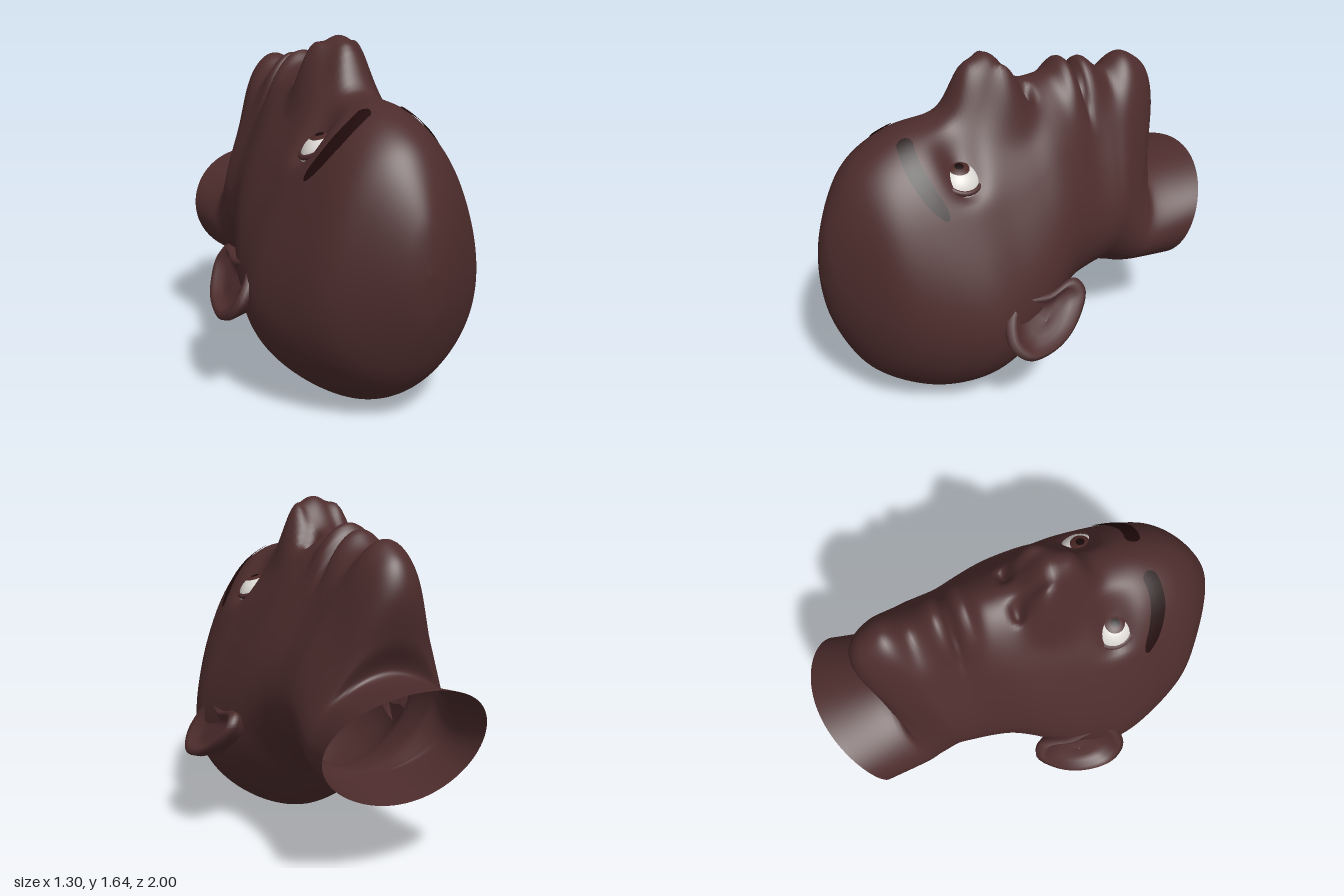
import * as THREE from 'three';

const skin = new THREE.MeshStandardMaterial({ color: 0x4d2c2c, side: THREE.DoubleSide });
const browHair = new THREE.MeshStandardMaterial({ color: 0x210b0b, side: THREE.DoubleSide });
const eyeWhite = new THREE.MeshStandardMaterial({ color: 0xdcd8d4 });
const irisBrown = new THREE.MeshStandardMaterial({ color: 0x4b2826 });
const pupilDark = new THREE.MeshStandardMaterial({ color: 0x180a0a });
skin.name = 'skin';
browHair.name = 'browHair';
eyeWhite.name = 'eyeWhite';
irisBrown.name = 'irisBrown';
pupilDark.name = 'pupilDark';

// Rings from crown to neck: face z, y, back z, y, then girth from face to back
const RINGS = [
  [1.0, 0.73, 1.0, 0.73, 0, 0, 0, 0],
  [0.97, 0.96, 0.97, 0.5, 0.09, 0.1, 0.11, 0.1],
  [0.87, 1.18, 0.87, 0.26, 0.23, 0.24, 0.27, 0.24],
  [0.75, 1.3, 0.75, 0.125, 0.33, 0.35, 0.41, 0.37],
  [0.58, 1.375, 0.56, 0.02, 0.37, 0.4, 0.52, 0.46],
  [0.4, 1.39, 0.37, 0.005, 0.38, 0.42, 0.585, 0.5],
  [0.22, 1.39, 0.2, 0.055, 0.36, 0.41, 0.57, 0.48],
  [0.06, 1.42, 0.06, 0.18, 0.31, 0.38, 0.53, 0.46],
  [-0.07, 1.465, -0.06, 0.31, 0.26, 0.34, 0.48, 0.44],
  [-0.2, 1.485, -0.15, 0.37, 0.23, 0.3, 0.44, 0.4],
  [-0.34, 1.48, -0.24, 0.4, 0.2, 0.26, 0.42, 0.38],
  [-0.49, 1.475, -0.32, 0.415, 0.2, 0.25, 0.41, 0.36],
  [-0.62, 1.485, -0.37, 0.42, 0.21, 0.24, 0.405, 0.36],
  [-0.73, 1.42, -0.4, 0.42, 0.22, 0.235, 0.4, 0.36],
  [-0.77, 1.28, -0.43, 0.415, 0.22, 0.24, 0.395, 0.36],
  [-0.73, 1.09, -0.46, 0.41, 0.23, 0.26, 0.39, 0.36],
  [-0.67, 0.92, -0.5, 0.405, 0.27, 0.32, 0.385, 0.36],
  [-1.0, 0.93, -0.76, 0.37, 0.38, 0.385, 0.39, 0.38],
];
// Forward bow of each ring's sides, easing the jaw into the neck
const BOW = [0, 0, 0, 0, 0, 0, 0, 0, 0, 0, 0, 0.02, 0.045, 0.075, 0.07, 0.02, -0.04, 0.06];

// Face relief: x, z, spread in x, spread in z, height, mirrored
const NOSE = [
  [0, 0.15, 0.17, 0.13, 0.24],
  [0, 0.27, 0.085, 0.065, 0.095],
  [0.14, 0.09, 0.06, 0.08, 0.085, true],
  [0.09, -0.02, 0.04, 0.03, -0.06, true],
  [0.225, 0.385, 0.09, 0.085, -0.08, true],
];
const LIPS = [
  [0, -0.25, 0.16, 0.05, 0.06],
  [0, -0.37, 0.15, 0.05, 0.045],
  [0, -0.315, 0.19, 0.016, -0.05],
  [0, -0.49, 0.14, 0.05, -0.03],
  [0, -0.61, 0.16, 0.06, 0.015],
];

// Uniform Catmull-Rom through numbers
function spline(values, u) {
  const last = values.length - 1;
  const i = Math.min(Math.floor(u), last - 1);
  const f = u - i;
  const at = (k) => values[Math.max(0, Math.min(last, k))];
  const [a, b, c, d] = [at(i - 1), at(i), at(i + 1), at(i + 2)];
  return b + 0.5 * f * (c - a + f * (2 * a - 5 * b + 4 * c - d + f * (3 * (b - c) + d - a)));
}

// Surface through a grid of points
function gridGeometry(rows, closed) {
  const n = rows[0].length;
  const index = [];
  for (let i = 0; i < rows.length - 1; i++) {
    for (let j = 0; j < (closed ? n : n - 1); j++) {
      const a = i * n + j, b = i * n + (j + 1) % n;
      index.push(a, b, a + n, b, b + n, a + n);
    }
  }
  const g = new THREE.BufferGeometry();
  g.setAttribute('position', new THREE.Float32BufferAttribute(rows.flat(2), 3));
  g.setIndex(index);
  g.computeVertexNormals();
  return g;
}

function relief(list, x, z) {
  let sum = 0;
  for (const [bx, bz, sx, sz, h, mirrored] of list) {
    const dx = ((mirrored ? Math.abs(x) : x) - bx) / sx;
    const dz = (z - bz) / sz;
    sum += h * Math.exp(-(dx ** 4 + dx * dx) / 2 - dz * dz);
  }
  return sum;
}

function headGeometry() {
  const steps = 153, sides = 160, rows = [];
  const columns = RINGS[0].map((_, k) => RINGS.map((r) => r[k]));
  for (let i = 0; i <= steps; i++) {
    const u = (i / steps) * (RINGS.length - 1);
    const [tz, ty, bz, by, ...girth] = columns.map((c) => spline(c, u));
    const bow = spline(BOW, u);
    const row = [];
    for (let j = 0; j < sides; j++) {
      const t = (j / sides) * Math.PI * 2;
      const h = (1 - Math.cos(t)) / 2;
      const around = 3 * (1 - Math.abs(1 - t / Math.PI));
      let x = Math.sin(t) * spline(girth, around);
      let y = ty + (by - ty) * h;
      const z = tz + (bz - tz) * h + bow * Math.sin(t) ** 2;
      // raise nose and lips on the face side only
      const lip = relief(LIPS, x, z) * THREE.MathUtils.smoothstep(y, 1.18, 1.4);
      const lift = relief(NOSE, x, z) * THREE.MathUtils.smoothstep(y, 1.0, 1.15);
      const len = Math.hypot(1.5 * x, y - 0.9) || 1;
      x += (lip * 1.5 * x) / len;
      y += (lip * (y - 0.9)) / len + lift;
      row.push([x, y, z]);
    }
    rows.push(row);
  }
  return gridGeometry(rows, true);
}

// Ear: outline in z, y scaled through rim and bowl layers
function earGeometry(side) {
  const outline = new THREE.CatmullRomCurve3([
    [0.36, 0.48], [0.345, 0.59], [0.28, 0.65], [0.1, 0.635], [-0.05, 0.66], [-0.085, 0.6],
    [0.01, 0.48], [0.14, 0.415], [0.29, 0.41],
  ].map(([z, y]) => new THREE.Vector3(0, y, z)), true).getPoints(48).slice(0, 48);
  const layers = [[0.01, -0.025], [0.4, -0.03], [0.62, -0.022], [0.76, 0.005], [0.88, 0.016],
    [1, 0], [0.97, -0.03], [0.7, -0.1]];
  return gridGeometry(layers.map(([r, off]) => outline.map((p) => {
    const y = 0.53 + (p.y - 0.53) * r;
    const x = 0.645 - 0.6 * (y - 0.4);
    return [side * (x + off * 0.86), y + off * 0.4, 0.14 + (p.z - 0.14) * r];
  })), true);
}

export function createModel() {
  const model = new THREE.Group();
  model.name = 'head';
  const add = (geometry, material, name, parent = model) => {
    const mesh = new THREE.Mesh(geometry, material);
    mesh.name = name;
    parent.add(mesh);
    return mesh;
  };
  const head = add(headGeometry(), skin, 'headAndNeck');

  // Face surface point and normal below a given x, z
  const ray = new THREE.Raycaster();
  const surface = (x, z) => {
    ray.set(new THREE.Vector3(x, 3, z), new THREE.Vector3(0, -1, 0));
    const hit = ray.intersectObject(head)[0];
    return { p: hit.point, n: hit.face.normal.clone() };
  };
  const up = new THREE.Vector3(0, 1, 0);

  for (const side of [1, -1]) {
    const label = side > 0 ? 'left' : 'right';
    add(earGeometry(side), skin, label + 'Ear');

    // Eyeball with iris and pupil caps, and a lid ring
    const { p } = surface(side * 0.222, 0.39);
    const n = new THREE.Vector3(side * 0.52, 0.85, -0.05).normalize();
    const eye = new THREE.Group();
    eye.name = label + 'Eye';
    eye.position.copy(p).addScaledVector(n, -0.074);
    const gaze = new THREE.Vector3(side * 0.27, 0.96, 0.03).normalize();
    eye.quaternion.setFromUnitVectors(up, gaze);
    model.add(eye);
    add(new THREE.SphereGeometry(0.112, 32, 24), eyeWhite, 'eyeball', eye);
    add(new THREE.SphereGeometry(0.114, 32, 8, 0, Math.PI * 2, 0, 0.43), irisBrown, 'iris', eye);
    add(new THREE.SphereGeometry(0.116, 24, 6, 0, Math.PI * 2, 0, 0.18), pupilDark, 'pupil', eye);
    const lid = add(new THREE.TorusGeometry(0.087, 0.013, 10, 40), skin, label + 'Eyelid');
    lid.position.copy(p).addScaledVector(n, -0.008);
    lid.quaternion.setFromUnitVectors(new THREE.Vector3(0, 0, 1), n);

    // Eyebrow ribbon laid on the forehead
    const arc = new THREE.CatmullRomCurve3([[0.075, 0.59], [0.13, 0.605], [0.2, 0.605], [0.28, 0.57], [0.34, 0.515]]
      .map(([x, z]) => new THREE.Vector3(x, 0, z)));
    const rows = [];
    for (let i = 0; i <= 28; i++) {
      const s = i / 28;
      const c = arc.getPoint(s), d = arc.getTangent(s);
      const half = 0.036 * Math.min(1, Math.sqrt(s * 6) + 0.2) * Math.min(1, Math.sqrt((1 - s) * 1.6) + 0.15);
      rows.push([-1, -0.5, 0, 0.5, 1].map((k) => {
        const hit = surface(side * (c.x - d.z * half * k), c.z + d.x * half * k);
        return hit.p.addScaledVector(hit.n, 0.006).toArray();
      }));
    }
    add(gridGeometry(rows, false), browHair, label + 'Eyebrow');
  }
  return model;
}
